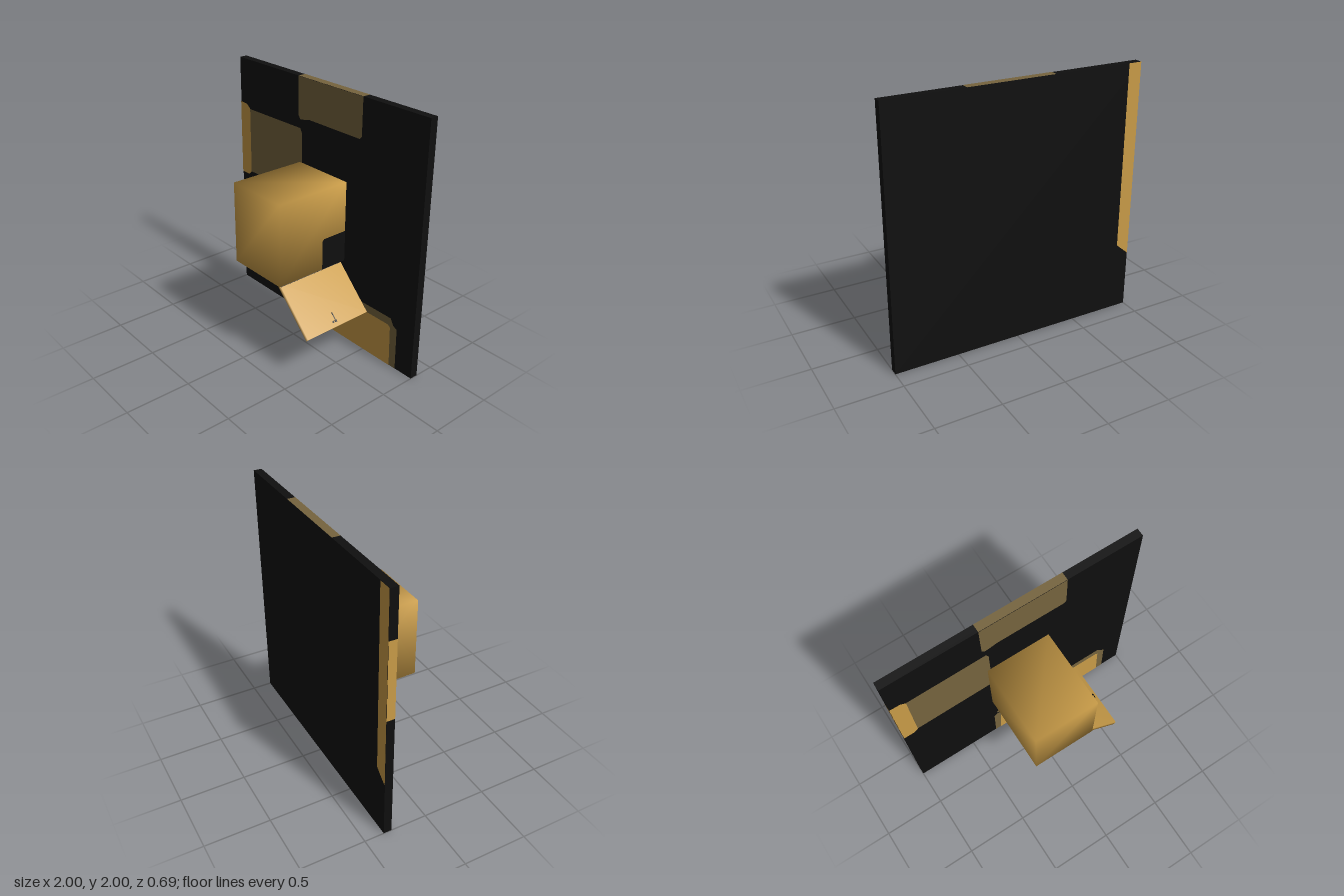
import * as THREE from 'three';
import { mergeVertices } from 'three/addons/utils/BufferGeometryUtils.js';

const mat = (name, color) => new THREE.MeshStandardMaterial({ name, color });

// Box whose corner normals are shared, giving soft shading
function softBox(w, h, d) {
  let g = new THREE.BoxGeometry(w, h, d);
  g.deleteAttribute('normal');
  g.deleteAttribute('uv');
  g = mergeVertices(g);
  g.computeVertexNormals();
  return g;
}

export function createModel() {
  const black = mat('black', 0x0f0f0f);
  const gold = mat('gold', 0xc99c48);
  const olive = mat('olive', 0x76643e);
  const model = new THREE.Group();

  const add = (parent, name, geometry, material, x = 0, y = 0, z = 0) => {
    const mesh = new THREE.Mesh(geometry, material);
    mesh.name = name;
    mesh.position.set(x, y, z);
    parent.add(mesh);
    return mesh;
  };
  // Flat painted face from a 2D outline
  const paint = (parent, name, points, material, x = 0, y = 0, z = 0) => {
    const shape = new THREE.Shape(points.map(([a, b]) => new THREE.Vector2(a, b)));
    return add(parent, name, new THREE.ShapeGeometry(shape), material, x, y, z);
  };
  const rect = (x0, y0, x1, y1) => [[x0, y0], [x1, y0], [x1, y1], [x0, y1]];

  // Wall panel
  const back = -0.348, front = -0.285, mid = (back + front) / 2;
  add(model, 'wallPanel', new THREE.BoxGeometry(2, 2, front - back), black, 0, 1, mid);

  // Painted patches on the panel front
  const z1 = front + 0.002, z2 = front + 0.004;
  paint(model, 'topPatch', [[-0.28, 2], [-0.28, 1.7], [-0.255, 1.67], [-0.22, 1.675], [-0.16, 1.69],
    [0.38, 1.69], [0.4, 1.71], [0.4, 2]], olive, 0, 0, z1);
  paint(model, 'sidePatch', [[-0.89, 1.05], [-0.25, 1.06], [-0.235, 1.08], [-0.235, 1.56],
    [-0.255, 1.6], [-0.89, 1.595]], olive, 0, 0, z1);
  paint(model, 'sideBand', [[-1, 1.02], [-0.91, 1.02], [-0.88, 1.05], [-0.88, 1.6],
    [-0.92, 1.63], [-1, 1.635]], gold, 0, 0, z2);
  paint(model, 'lowerBorder', [[-0.27, 0], [0.84, 0], [0.835, 0.34], [0.8, 0.36], [0.77, 0.41],
    [0.3, 0.41], [0.26, 0.38], [0.28, 0.35], [-0.2, 0.35], [-0.24, 0.36], [-0.265, 0.33]], olive, 0, 0, z1);
  paint(model, 'lowerBlob', [[-0.24, 0.385], [-0.2, 0.365], [-0.14, 0.375], [-0.14, 0.4],
    [-0.19, 0.42], [-0.235, 0.41]], olive, 0, 0, z1);
  paint(model, 'lowerPatch', [[-0.22, 0], [0.78, 0], [0.77, 0.33], [0.75, 0.347], [0.32, 0.347],
    [0.26, 0.365], [-0.18, 0.37], [-0.205, 0.34]], gold, 0, 0, z2);

  // Painted patches on the panel edges and back
  const t = 0.0315;
  paint(model, 'topEdgePatch', rect(-0.28, -t, 0.4, t), olive, 0, 2.001, mid).rotation.x = -Math.PI / 2;
  paint(model, 'bottomEdgePatch', rect(-0.26, -t, 0.8, t), gold, 0, -0.001, mid).rotation.x = Math.PI / 2;
  paint(model, 'sideEdgePatch', rect(-t, 1.02, t, 1.635), gold, -1.001, 0, mid).rotation.y = -Math.PI / 2;
  paint(model, 'backStripe', [[0.895, 0.55], [1, 0.46], [1, 2], [0.895, 2]],
    gold, 0, 0, back - 0.002).rotation.y = Math.PI;

  // Projecting box, with a dark corner on its left side
  add(model, 'box', softBox(0.52, 0.645, 0.63), gold, 0, 1.0025, 0.03);
  paint(model, 'boxDarkCorner', [[0.06, 0.68], [0.285, 0.68], [0.285, 0.93], [0.075, 0.93],
    [0.06, 0.915]], black, 0.262, 0, 0).rotation.y = Math.PI / 2;

  // Open hatch hanging at an angle below the box
  const hatch = new THREE.Group();
  hatch.name = 'hatch';
  hatch.position.set(0.37, 0.508, 0.0225);
  hatch.rotation.z = -Math.PI / 4;
  model.add(hatch);
  add(hatch, 'hatchBoard', softBox(0.45, 0.03, 0.585), gold);
  add(hatch, 'hatchHingeStrip', new THREE.BoxGeometry(0.025, 0.002, 0.585), black, -0.2125, 0.0155);
  // Handle marks
  const mark = (name, w, d, x, z) =>
    add(hatch, name, new THREE.BoxGeometry(w, 0.002, d), black, x, 0.0155, z);
  mark('handleBar', 0.075, 0.008, 0.155, 0);
  mark('handlePlate', 0.018, 0.018, 0.185, 0);
  mark('handleKeyhole', 0.014, 0.014, 0.185, 0.024);

  return model;
}
